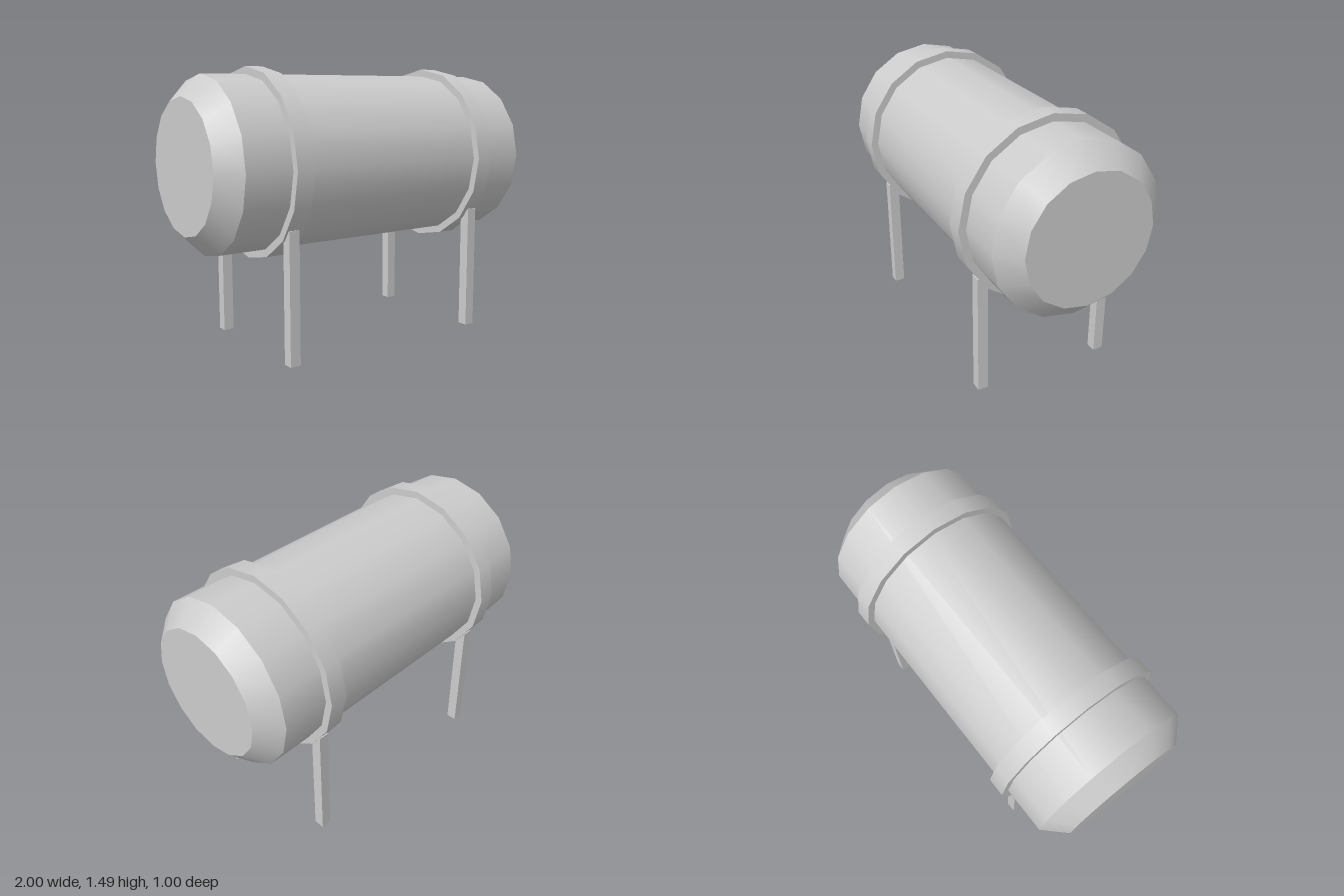
import * as THREE from 'three';

const SIDES = 16;
const AXIS_Y = 0.99;

export function createModel() {
  const group = new THREE.Group();
  const grey = new THREE.MeshStandardMaterial({ color: 0xcccccc, side: THREE.DoubleSide });
  grey.name = 'light grey metal';

  const add = (name, geometry, x, y, z) => {
    const mesh = new THREE.Mesh(geometry, grey);
    mesh.name = name;
    mesh.position.set(x, y, z);
    group.add(mesh);
  };

  // Cylinder lying along x, with separate radii at its -x and +x ends
  const lying = (rMinus, rPlus, length, open) =>
    new THREE.CylinderGeometry(rMinus, rPlus, length, SIDES, 1, open).rotateZ(Math.PI / 2);

  // Tank shell
  add('tankBody', lying(0.46, 0.46, 1.784, true), 0, AXIS_Y, 0);

  for (const side of [-1, 1]) {
    const label = side > 0 ? 'left' : 'right';

    // Bevelled end and its flat disc
    const bevel = side > 0 ? lying(0.46, 0.35, 0.108, true) : lying(0.35, 0.46, 0.108, true);
    add(label + 'Bevel', bevel, side * 0.946, AXIS_Y, 0);
    const disc = new THREE.CircleGeometry(0.35, SIDES).rotateY(side * Math.PI / 2);
    add(label + 'EndCap', disc, side, AXIS_Y, 0);

    // Raised strap
    add(label + 'Band', lying(0.5, 0.5, 0.098, false), side * 0.592, AXIS_Y, 0);

    // Legs: square tubes with open feet
    for (const end of [-1, 1]) {
      const leg = new THREE.BoxGeometry(0.058, 0.69, 0.058);
      const index = Array.from(leg.index.array);
      index.splice(18, 6); // remove the bottom face
      leg.setIndex(index);
      leg.clearGroups();
      add(label + (end > 0 ? 'FrontLeg' : 'BackLeg'), leg, side * 0.6, 0.345, end * 0.367);
    }
  }
  return group;
}
